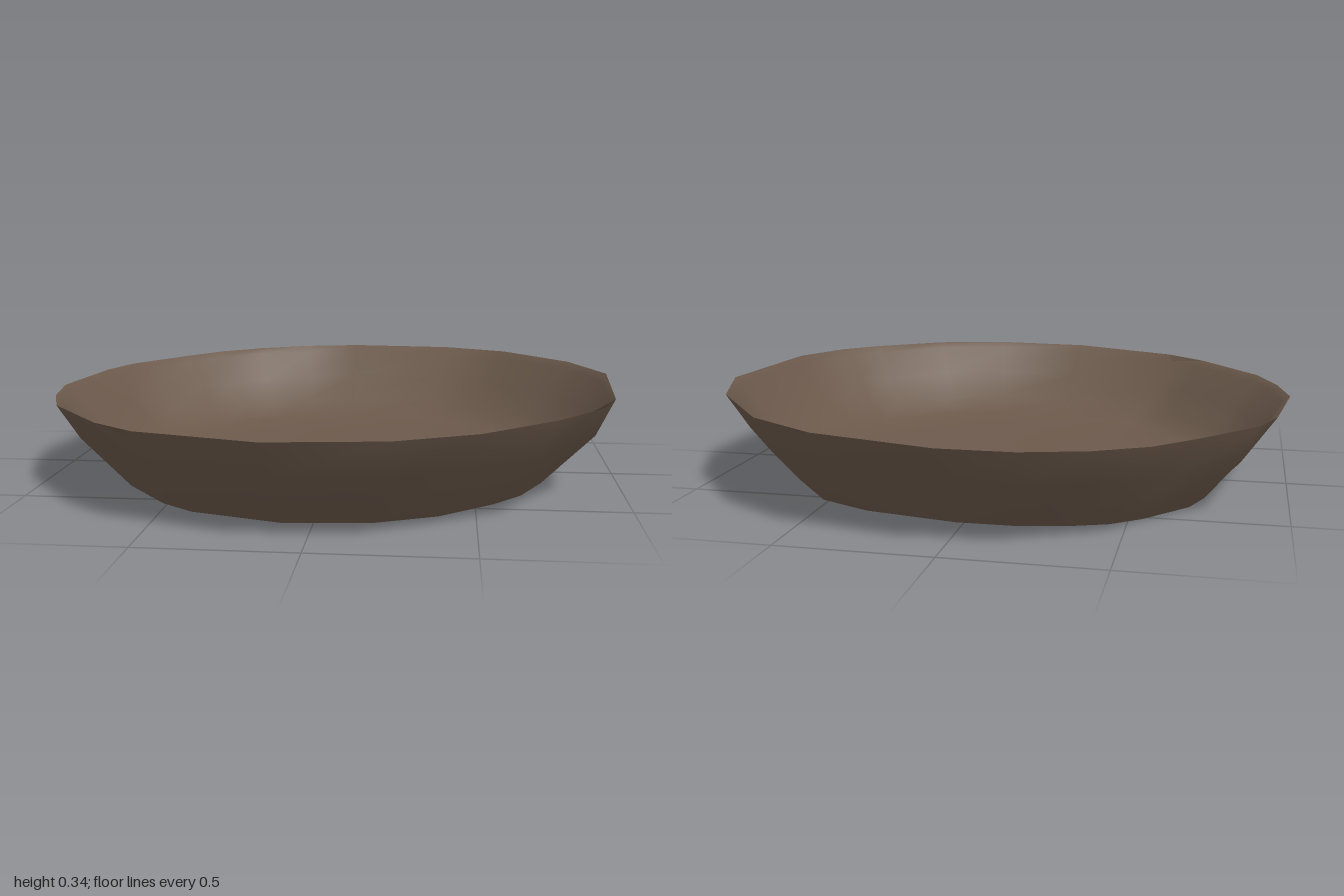
import * as THREE from 'three';

// Uneven plan of the rim, as x, z pairs from the front round by +x
const PLAN = [
  [-0.12, 1], [0.25, 0.98], [0.5, 0.88], [0.73, 0.69], [0.85, 0.55], [0.95, 0.34],
  [0.99, -0.18], [0.88, -0.48], [0.64, -0.78], [0.4, -0.92], [0, -1], [-0.23, -0.98],
  [-0.43, -0.91], [-0.59, -0.81], [-0.71, -0.68], [-0.89, -0.46], [-0.95, -0.3],
  [-1, 0.06], [-0.96, 0.27], [-0.89, 0.46], [-0.67, 0.74], [-0.52, 0.86],
];
// Hand-worked unevenness of the wall, one value per plan corner
const DENTS = [0.2, 0.5, -0.9, 0.6, -1, 0.7, 0.1, -0.4, 0.5, 0.2, -1,
  0.6, -0.5, 0.3, -0.3, 0.7, -0.8, -0.5, -0.6, -0.3, -0.7, 0.8];

// One cross-section loop: plan scaled by s at height y, dented and tilted
function ring(s, y, dent = 0, tilt = 0.018) {
  return PLAN.map(([x, z], i) => {
    const k = s + dent * DENTS[i];
    return [x * k, y + tilt * x * k - dent * 0.5 * DENTS[i], z * k];
  });
}

// Joins successive loops with a smooth skin
function skin(name, rings, material) {
  const n = PLAN.length, index = [];
  for (let r = 0; r < rings.length - 1; r++) {
    for (let i = 0; i < n; i++) {
      const j = (i + 1) % n;
      const a = r * n + i, b = r * n + j, c = a + n, d = b + n;
      index.push(a, b, d, a, d, c);
    }
  }
  const geometry = new THREE.BufferGeometry();
  geometry.setAttribute('position', new THREE.Float32BufferAttribute(rings.flat(2), 3));
  geometry.setIndex(index);
  geometry.computeVertexNormals();
  const mesh = new THREE.Mesh(geometry, material);
  mesh.name = name;
  return mesh;
}

export function createModel() {
  const group = new THREE.Group();
  group.name = 'bowl';
  const clay = new THREE.MeshStandardMaterial({ color: 0x6b594b, side: THREE.DoubleSide });
  clay.name = 'brown clay';

  // Foot edge, lifted a little at the back
  const foot = ring(0.765, 0.015, 0, 0.016);
  for (const p of foot) {
    p[1] += Math.max(0, -p[2] - 0.55) * 0.1;
    p[2] -= 0.01;
  }

  // Flaring outside wall
  group.add(skin('outerWall', [foot, ring(0.93, 0.2, 0.014), ring(1, 0.322)], clay));

  // Thin lip, steep inner wall and nearly flat floor, worn through in the middle
  group.add(skin('inside', [
    ring(1, 0.322), ring(0.975, 0.3, 0.01), ring(0.905, 0.2, 0.018), ring(0.82, 0.11, 0.01),
    ring(0.73, 0.055), ring(0.55, 0.036), ring(0.3, 0.024), ring(0.15, 0.012), ring(0.001, 0.008),
  ], clay));

  // Flat underside
  group.add(skin('base', [ring(0.001, 0.018, 0, 0.016), ring(0.4, 0.017, 0, 0.016), foot], clay));
  return group;
}
